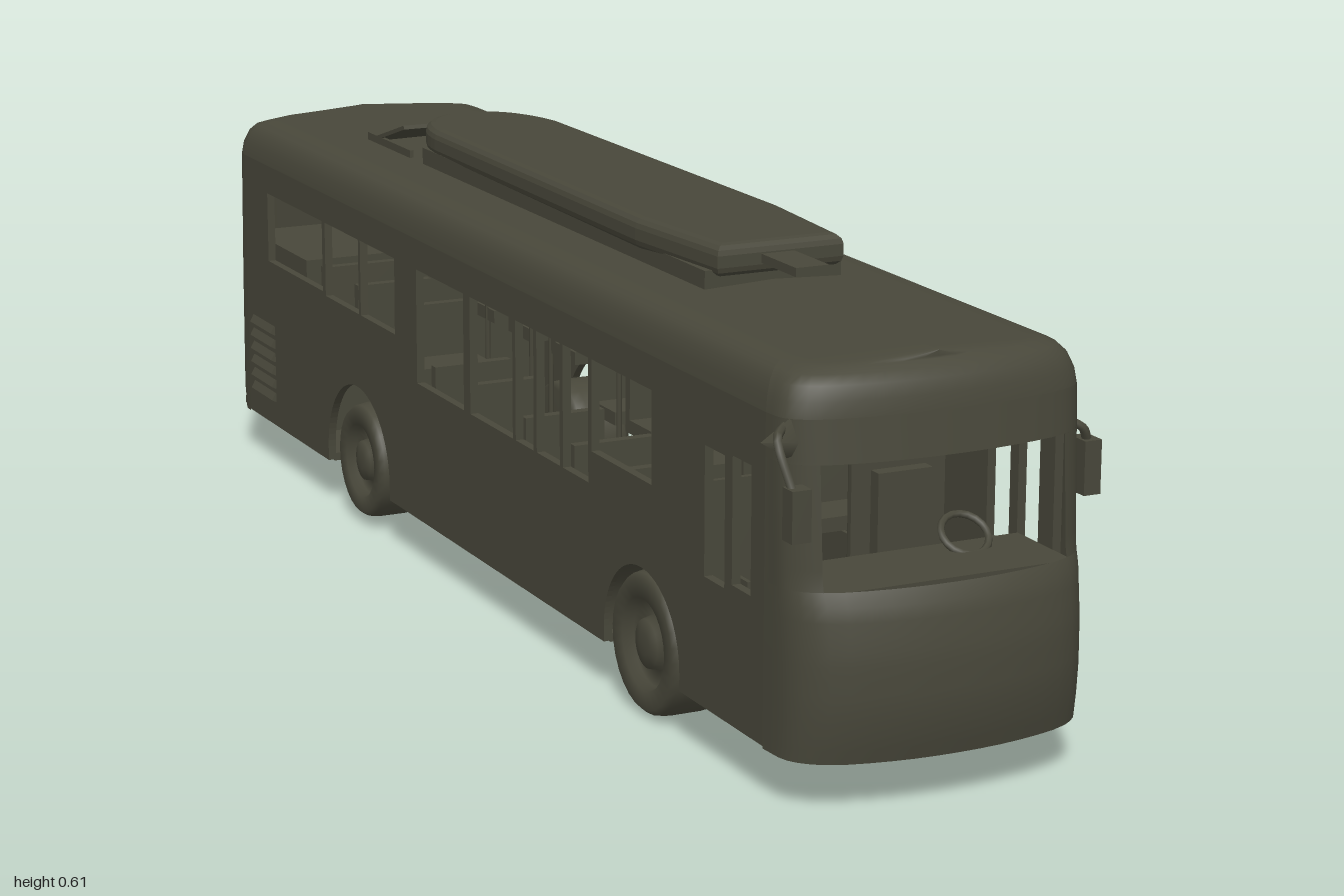
import * as THREE from 'three';

const paint = new THREE.MeshStandardMaterial({ color: 0x48473a, side: THREE.DoubleSide });
paint.name = 'dark olive paint';

const W = 0.21;        // half width of the body
const SIDE_TOP = 0.49; // where the walls meet the roof

export function createModel() {
  const bus = new THREE.Group();
  bus.name = 'bus';

  const add = (name, geo, x = 0, y = 0, z = 0, parent = bus) => {
    const m = new THREE.Mesh(geo, paint);
    m.name = name;
    m.position.set(x, y, z);
    parent.add(m);
    return m;
  };
  // box given by its extents
  const box = (name, x0, x1, y0, y1, z0, z1) =>
    add(name, new THREE.BoxGeometry(x1 - x0, y1 - y0, z1 - z0), (x0 + x1) / 2, (y0 + y1) / 2, (z0 + z1) / 2);
  // smooth surface from a rule f(u, v) -> [x, y, z]
  const patch = (name, f, nu, nv) => {
    const g = new THREE.PlaneGeometry(1, 1, nu, nv);
    const p = g.attributes.position;
    for (let i = 0; i < p.count; i++) p.setXYZ(i, ...f(p.getX(i) + 0.5, p.getY(i) + 0.5));
    g.computeVertexNormals();
    return add(name, g);
  };
  const lerp = THREE.MathUtils.lerp;
  const steps = (table, y) => {
    let i = 1;
    while (i < table.length - 1 && table[i][0] < y) i++;
    const [a, b] = [table[i - 1], table[i]];
    return lerp(a[1], b[1], THREE.MathUtils.clamp((y - a[0]) / (b[0] - a[0]), 0, 1));
  };

  // ---- plan curves of nose and tail, bulge changing with height
  const planCurve = (half) => {
    const left = half.map(([x, z]) => new THREE.Vector3(-x, 0, z));
    const right = half.slice(0, -1).reverse().map(([x, z]) => new THREE.Vector3(x, 0, z));
    return new THREE.CatmullRomCurve3([...left, ...right]);
  };
  const nosePlan = planCurve([[W, 0.87], [0.203, 0.922], [0.17, 0.955], [0.09, 0.978], [0, 0.985]]);
  const tailPlan = planCurve([[W, -0.93], [0.205, -0.965], [0.175, -0.985], [0.09, -0.992], [0, -0.995]]);
  const noseBulge = [[0.065, 1], [0.1, 1.08], [0.14, 1.13], [0.2, 1.12], [0.26, 1.02], [0.285, 0.88], [0.435, 0.76], [0.49, 0.7]];
  const tailBulge = [[0.065, 0.85], [0.1, 1.05], [0.3, 0.95], [0.49, 0.7]];
  const nose = (t, y) => {
    const p = nosePlan.getPoint(t);
    return [p.x, y, 0.87 + (p.z - 0.87) * steps(noseBulge, y)];
  };
  const tail = (t, y) => {
    const p = tailPlan.getPoint(1 - t);
    return [p.x, y, -0.93 + (p.z + 0.93) * steps(tailBulge, y)];
  };
  const face = (name, f, t0, t1, y0, y1) =>
    patch(name, (u, v) => f(lerp(t0, t1, u), lerp(y0, y1, v)), 24, 12);

  // nose around the open windscreen, then the closed tail
  face('frontLowerPanel', nose, 0, 1, 0.065, 0.28);
  face('frontUpperPanel', nose, 0, 1, 0.435, SIDE_TOP);
  face('rightWindscreenPillar', nose, 0, 0.25, 0.28, 0.435);
  face('leftWindscreenPillar', nose, 0.75, 1, 0.28, 0.435);
  face('rearPanel', tail, 0, 1, 0.065, SIDE_TOP);

  // ---- roof: outline rings drawn inward to the ridge
  const ring = [];
  for (const f of [nose, tail]) for (let i = 0; i <= 24; i++) ring.push(f(i / 24, SIDE_TOP));
  ring.push(ring[0]);
  const roofRows = [[0, 0.49], [0.003, 0.51], [0.01, 0.528], [0.02, 0.539], [0.035, 0.545], [0.06, 0.548], [W, 0.555]];
  patch('roof', (u, v) => {
    const [x, , z] = ring[Math.round(u * 50)];
    const [inset, y] = roofRows[Math.round(v * 6)];
    return [x * (1 - inset / W), y, z * (1 - Math.min(inset, 0.035))];
  }, 50, 6);

  // ---- side walls with wheel arches and window openings
  const axles = [{ z: 0.53, r: 0.097, arch: 0.112, name: 'front' }, { z: -0.455, r: 0.088, arch: 0.125, name: 'rear' }];
  const wall = new THREE.Shape();
  wall.moveTo(-0.93, 0.068);
  for (const a of [axles[1], axles[0]]) {
    wall.lineTo(a.z - a.arch, 0.068);
    wall.absarc(a.z, 0.09, a.arch, Math.PI, 0, true);
    wall.lineTo(a.z + a.arch, 0.068);
  }
  wall.lineTo(0.87, 0.068);
  wall.lineTo(0.87, SIDE_TOP);
  wall.lineTo(-0.93, SIDE_TOP);
  const openings = [ // z0, z1, y0, y1
    [0.785, 0.835, 0.25, 0.415], [0.71, 0.765, 0.24, 0.41],
    [0.38, 0.56, 0.32, 0.445], [0.29, 0.37, 0.275, 0.445], [0.205, 0.28, 0.275, 0.445],
    [0.135, 0.195, 0.275, 0.445], [-0.022, 0.125, 0.275, 0.445], [-0.217, -0.045, 0.275, 0.445],
    [-0.435, -0.3, 0.33, 0.445], [-0.58, -0.443, 0.33, 0.445], [-0.83, -0.592, 0.335, 0.445],
  ];
  for (const [z0, z1, y0, y1] of openings) {
    const h = new THREE.Path();
    h.moveTo(z0, y0);
    h.lineTo(z0, y1);
    h.lineTo(z1, y1);
    h.lineTo(z1, y0);
    h.closePath();
    wall.holes.push(h);
  }
  const wallGeo = new THREE.ExtrudeGeometry(wall, { depth: 0.012, bevelEnabled: false, curveSegments: 20 });
  wallGeo.rotateY(-Math.PI / 2);
  add('leftWall', wallGeo, W);
  add('rightWall', wallGeo, -W + 0.012);

  // ---- floor, narrowed between the wheels, with the curved nose outline
  let from = -0.98;
  for (const a of [axles[1], axles[0]]) {
    box('floor', -0.2, 0.2, 0.066, 0.078, from, a.z - a.arch);
    box('floorBetweenWheels', -0.11, 0.11, 0.066, 0.078, a.z - a.arch, a.z + a.arch);
    from = a.z + a.arch;
  }
  box('floor', -0.2, 0.2, 0.066, 0.078, from, 0.9);
  patch('noseFloor', (u, v) => {
    const [x, , z] = nose(u, 0.066);
    return [x, 0.066, lerp(0.87, z, v)];
  }, 24, 1);

  // ---- wheels: tyre, recessed rim and hub in one turned profile
  const wheelGeo = (r) => {
    const pts = [[0, -0.045], [0.9, -0.045], [0.98, -0.036], [1, -0.02], [1, 0.022], [0.97, 0.037], [0.9, 0.045],
      [0.64, 0.043], [0.6, 0.028], [0.38, 0.022], [0.34, 0.038], [0.15, 0.042], [0, 0.042]];
    const g = new THREE.LatheGeometry(pts.map(([a, b]) => new THREE.Vector2(a * r, b)), 28);
    return g.rotateZ(-Math.PI / 2);
  };
  for (const a of axles) {
    for (const s of [1, -1]) {
      const w = add(a.name + 'Wheel', wheelGeo(a.r), s * 0.164, a.r + (a.name === 'rear' ? 0.01 : 0), a.z);
      if (s < 0) w.rotation.y = Math.PI;
    }
    add(a.name + 'Axle', new THREE.CylinderGeometry(0.018, 0.018, 0.26, 12).rotateZ(Math.PI / 2), 0, 0.098, a.z);
  }
  // front wheel housings
  for (const s of [1, -1]) {
    const f = axles[0];
    const arch = new THREE.CylinderGeometry(f.arch, f.arch, 0.095, 20, 1, true, 0, Math.PI);
    arch.rotateZ(Math.PI / 2);
    add('frontWheelHousing', arch, s * 0.155, 0.09, f.z);
    box('frontWheelHousingWall', s * 0.11 - 0.003, s * 0.11 + 0.003, 0.07, 0.2, f.z - f.arch, f.z + f.arch);
  }

  // ---- roof equipment pod
  const pod = new THREE.Shape();
  pod.moveTo(-0.075, -0.49);
  pod.lineTo(0.08, -0.49);
  pod.lineTo(0.095, -0.3);
  pod.lineTo(0.09, 0.4);
  pod.quadraticCurveTo(0.075, 0.515, 0, 0.52);
  pod.quadraticCurveTo(-0.075, 0.515, -0.085, 0.4);
  pod.lineTo(-0.092, -0.3);
  const podGeo = new THREE.ExtrudeGeometry(pod, { depth: 0.016, bevelThickness: 0.014, bevelSize: 0.016, bevelSegments: 3 });
  podGeo.rotateX(-Math.PI / 2);
  add('roofPod', podGeo, 0, 0.58, 0);
  box('roofPodBase', -0.1, 0.1, 0.545, 0.575, -0.45, 0.49);
  box('roofPodSpout', -0.026, 0.022, 0.582, 0.594, 0.48, 0.6);
  const hatch = box('roofHatch', -0.1, 0.02, 0.568, 0.574, -0.67, -0.52);
  hatch.rotation.x = -0.3;
  box('roofHatchSide', -0.1, -0.094, 0.545, 0.562, -0.67, -0.5);

  // ---- louvres near the tail
  for (const s of [1, -1]) {
    for (let i = 0; i < 6; i++) {
      const l = add('louvre', new THREE.BoxGeometry(0.008, 0.013, 0.095), s * 0.211, 0.115 + i * 0.022, -0.855);
      l.rotation.z = s * 0.5;
    }
  }

  // ---- mirrors on short arms
  const arm = (pts) => add('mirrorArm', new THREE.TubeGeometry(
    new THREE.CatmullRomCurve3(pts.map((p) => new THREE.Vector3(...p))), 10, 0.006, 6));
  box('leftMirror', 0.213, 0.237, 0.345, 0.415, 0.88, 0.915);
  arm([[0.2, 0.44, 0.9], [0.215, 0.43, 0.905], [0.225, 0.41, 0.9]]);
  box('rightMirror', -0.229, -0.203, 0.355, 0.42, 0.95, 0.975);
  arm([[-0.2, 0.48, 0.9], [-0.226, 0.472, 0.93], [-0.22, 0.41, 0.962]]);
  const bracket = add('mirrorBracket', new THREE.ConeGeometry(0.026, 0.04, 4).rotateZ(Math.PI / 2), -0.218, 0.465, 0.91);
  bracket.scale.z = 0.8;

  // ---- cab
  box('dashboard', -0.19, 0.19, 0.2, 0.27, 0.8, 0.93);
  add('steeringWheel', new THREE.TorusGeometry(0.032, 0.005, 6, 18).rotateX(-0.9), 0.1, 0.285, 0.82);
  box('driverSeat', 0.06, 0.14, 0.08, 0.2, 0.66, 0.74);
  box('driverSeatBack', 0.06, 0.14, 0.2, 0.33, 0.65, 0.67);
  for (const s of [1, -1]) box('cabPartition', s * 0.125 - 0.07, s * 0.125 + 0.07, 0.08, 0.33, 0.6, 0.608);

  // ---- passenger seats, higher towards the tail
  const seatRows = [0.42, 0.28, 0.12, -0.08, -0.2, -0.34, -0.5, -0.64, -0.77];
  for (const z of seatRows) {
    const y = z < -0.3 ? 0.26 : 0.2;
    for (const s of [1, -1]) {
      const x = s * 0.128;
      box('seatCushion', x - 0.06, x + 0.06, y, y + 0.02, z, z + 0.07);
      box('seatBack', x - 0.06, x + 0.06, y, y + 0.1, z - 0.015, z);
    }
  }
  box('engineCover', -0.195, 0.195, 0.08, 0.36, -0.95, -0.7);

  // ---- grab rails and poles
  for (const s of [1, -1]) {
    box('grabRail', s * 0.07 - 0.003, s * 0.07 + 0.003, 0.395, 0.402, -0.6, 0.58);
    for (const z of [0.58, 0.34, 0.1, -0.12, -0.36, -0.6]) {
      add('pole', new THREE.CylinderGeometry(0.004, 0.004, 0.46, 6), s * 0.07, 0.31, z);
    }
  }
  return bus;
}
